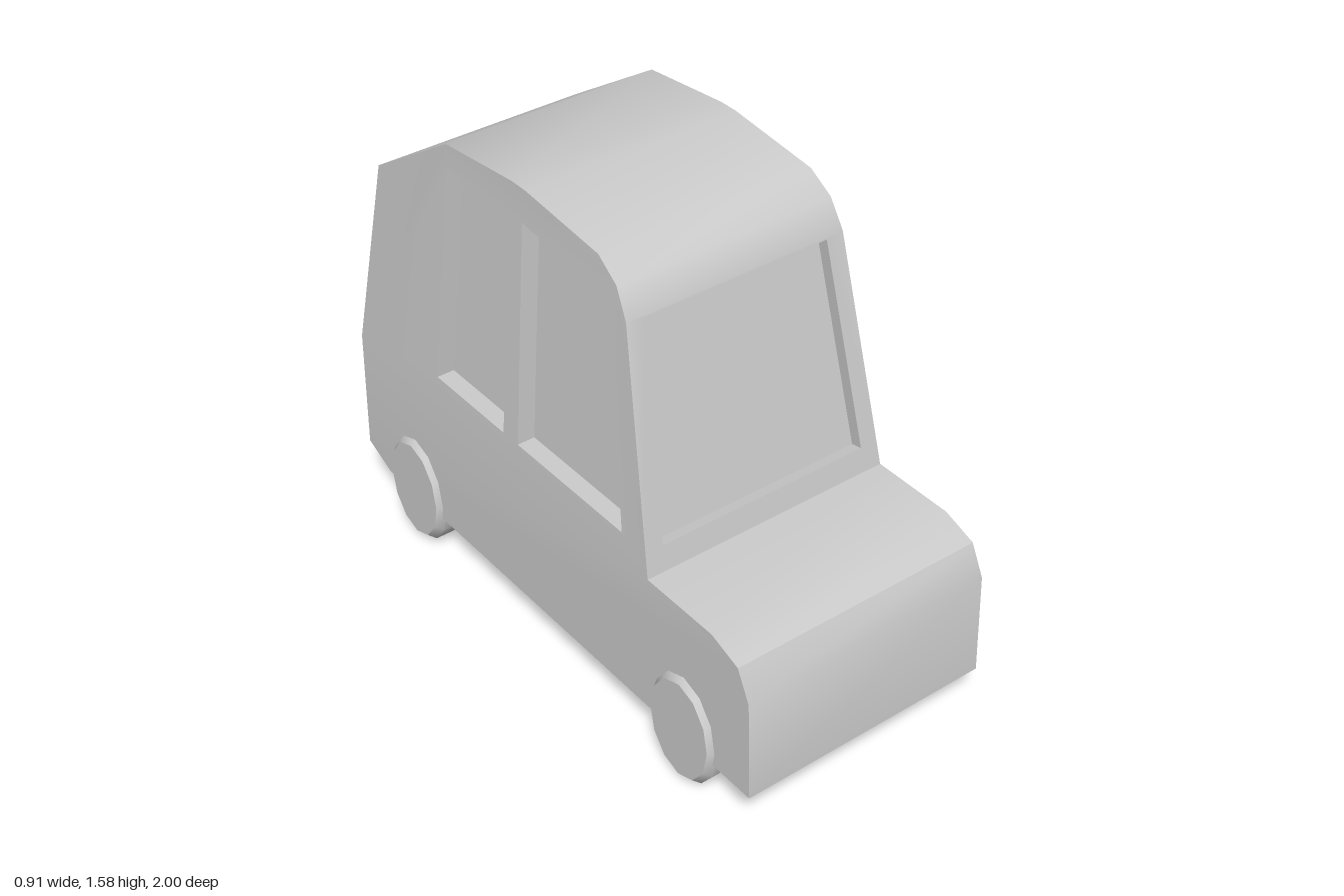
import * as THREE from 'three';
import { toCreasedNormals } from 'three/addons/utils/BufferGeometryUtils.js';

const BELT = 0.64;      // height where the cabin starts to lean inwards
const WIDE = 0.437, NARROW = 0.373;

// Side outline as [z, y], from the front bottom edge over the roof to the back
const outline = [
  [1, 0.155], [0.985, 0.5], [0.935, 0.6], [0.82, BELT], [0.533, BELT],
  [0.37, 1.4], [0.32, 1.49], [0.235, 1.545], [-0.105, 1.58], [-0.17, 1.58],
  [-0.507, 1.545], [-0.905, 1.29], [-0.99, BELT], [-1, 0.21], [-0.88, 0.155],
];
const COWL = 4, SHIELD_TOP = 5, HATCH_TOP = 11, HATCH_BOTTOM = 12;

const sideWindows = [
  [[0.405, 0.725], [-0.11, 0.725], [-0.12, 1.47], [0.285, 1.44]],
  [[-0.185, 0.725], [-0.545, 0.725], [-0.503, 1.47], [-0.175, 1.47]],
];

// Half width of the body at a point of the side
function halfWidth(z, y) {
  const back = THREE.MathUtils.clamp((-z - 0.507) / 0.398, 0, 1);
  const top = THREE.MathUtils.lerp(1.545, 1.29, back);
  const t = THREE.MathUtils.clamp((y - BELT) / (top - BELT), 0, 1);
  return THREE.MathUtils.lerp(WIDE, NARROW, t);
}

// Adds a triangle, turned so that it faces along dir
function addTriangle(list, a, b, c, dir) {
  const n = b.clone().sub(a).cross(c.clone().sub(a));
  const order = n.dot(dir) >= 0 ? [a, b, c] : [a, c, b];
  for (const p of order) list.push(p.x, p.y, p.z);
}

function addQuad(list, a, b, c, d, dir) {
  addTriangle(list, a, b, c, dir);
  addTriangle(list, a, c, d, dir);
}

// A panel with window openings; each opening gets a reveal and a sunk pane
function addPanel(body, glass, contour, holes, place, outward, depth) {
  const to2 = (pts) => pts.map(([u, v]) => new THREE.Vector2(u, v));
  const faces = THREE.ShapeUtils.triangulateShape(to2(contour), holes.map(to2));
  const points = [contour, ...holes].flat().map(([u, v]) => place(u, v));
  for (const [a, b, c] of faces) addTriangle(body, points[a], points[b], points[c], outward);

  const inward = outward.clone().normalize().multiplyScalar(-depth);
  for (const hole of holes) {
    const rim = hole.map(([u, v]) => place(u, v));
    const sunk = rim.map((p) => p.clone().add(inward));
    const centre = rim.reduce((s, p) => s.add(p), new THREE.Vector3()).divideScalar(rim.length);
    rim.forEach((p, i) => {
      const j = (i + 1) % rim.length;
      const toCentre = centre.clone().sub(p.clone().add(rim[j]).multiplyScalar(0.5));
      addQuad(body, p, rim[j], sunk[j], sunk[i], toCentre);
    });
    addQuad(glass, ...sunk, outward);
  }
}

// A sloping end panel (windscreen or hatch) between two outline points
function addEndPanel(body, glass, low, high, hole, depth) {
  const place = (x, y) => {
    const t = (y - low[1]) / (high[1] - low[1]);
    return new THREE.Vector3(x, y, THREE.MathUtils.lerp(low[0], high[0], t));
  };
  const wl = halfWidth(...low), wh = halfWidth(...high);
  const contour = [[-wl, low[1]], [wl, low[1]], [wh, high[1]], [-wh, high[1]]];
  const facing = Math.sign(low[0]);
  const outward = new THREE.Vector3(0, Math.abs(low[0] - high[0]), facing * (high[1] - low[1]));
  addPanel(body, glass, contour, [hole], place, outward, depth);
}

function toMesh(list, name, material) {
  const geometry = new THREE.BufferGeometry();
  geometry.setAttribute('position', new THREE.Float32BufferAttribute(list, 3));
  const mesh = new THREE.Mesh(toCreasedNormals(geometry, 0.6), material);
  mesh.name = name;
  return mesh;
}

export function createModel() {
  const car = new THREE.Group();
  car.name = 'car';
  const material = new THREE.MeshStandardMaterial({ color: 0xcccccc });
  const body = [], glass = [];

  // Bonnet, roof, tail and floor: strips across the width
  outline.forEach(([z0, y0], i) => {
    if (i === COWL || i === HATCH_TOP) return;
    const [z1, y1] = outline[(i + 1) % outline.length];
    const w0 = halfWidth(z0, y0), w1 = halfWidth(z1, y1);
    addQuad(body,
      new THREE.Vector3(-w0, y0, z0), new THREE.Vector3(w0, y0, z0),
      new THREE.Vector3(w1, y1, z1), new THREE.Vector3(-w1, y1, z1),
      new THREE.Vector3(0, z0 - z1, y1 - y0));
  });

  // Windscreen and hatch
  addEndPanel(body, glass, outline[COWL], outline[SHIELD_TOP],
    [[-0.37, 0.72], [0.37, 0.72], [0.323, 1.393], [-0.323, 1.393]], 0.04);
  addEndPanel(body, glass, outline[HATCH_BOTTOM], outline[HATCH_TOP],
    [[-0.37, 0.72], [0.37, 0.72], [0.33, 1.22], [-0.33, 1.22]], 0.04);

  // Sides: flat lower part, leaning cabin with two windows
  const cabin = outline.slice(COWL, HATCH_BOTTOM + 1);
  const lower = [...outline.slice(0, COWL + 1), ...outline.slice(HATCH_BOTTOM)];
  for (const side of [1, -1]) {
    const place = (z, y) => new THREE.Vector3(side * halfWidth(z, y), y, z);
    const outward = new THREE.Vector3(side, 0, 0);
    addPanel(body, glass, lower, [], place, outward, 0);
    addPanel(body, glass, cabin, sideWindows, place, outward, 0.06);
  }
  car.add(toMesh(body, 'body', material), toMesh(glass, 'windows', material));

  // Wheels, slightly narrower than tall, with a bevelled outer edge
  const wheelProfile = [[0, 0], [0.2, 0], [0.2, 0.07], [0.175, 0.097], [0, 0.097]]
    .map(([r, h]) => new THREE.Vector2(r, h));
  const wheelGeometry = toCreasedNormals(
    new THREE.LatheGeometry(wheelProfile, 12).toNonIndexed(), 0.6);
  const axleGeometry = new THREE.CylinderGeometry(0.03, 0.03, 0.74, 8);
  for (const [end, z] of [['front', 0.7], ['rear', -0.7]]) {
    for (const side of [1, -1]) {
      const wheel = new THREE.Mesh(wheelGeometry, material);
      wheel.name = `${end}${side > 0 ? 'Left' : 'Right'}Wheel`;
      wheel.rotation.z = -side * Math.PI / 2;
      wheel.scale.z = 0.75;
      wheel.position.set(side * 0.358, 0.2, z);
      car.add(wheel);
    }
    const axle = new THREE.Mesh(axleGeometry, material);
    axle.name = `${end}Axle`;
    axle.rotation.z = Math.PI / 2;
    axle.position.set(0, 0.16, z);
    car.add(axle);
  }
  return car;
}
